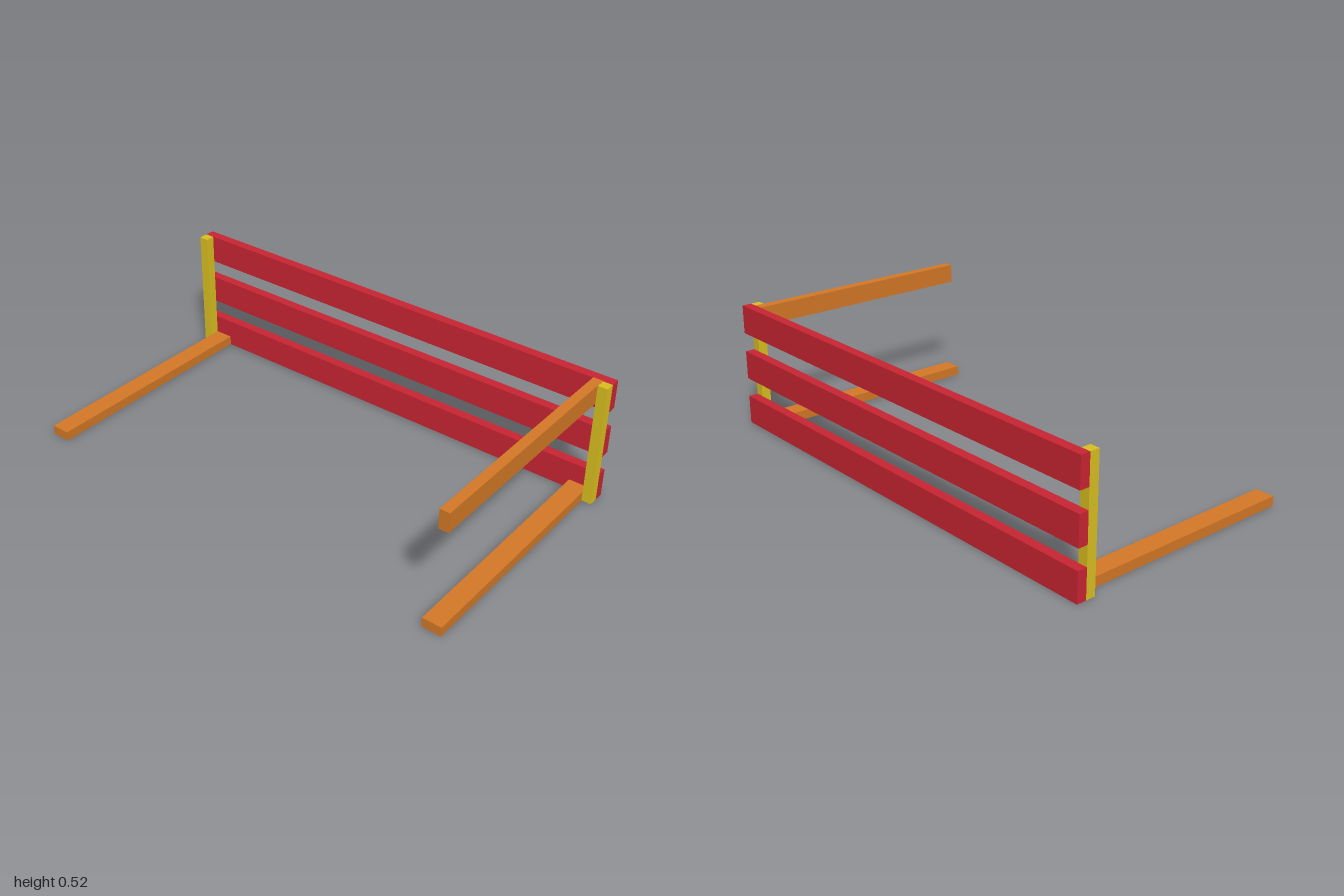
import * as THREE from 'three';

const material = (color) => new THREE.MeshStandardMaterial({ color, flatShading: true });

// Box given by its [min, max] extent along each axis
function beam(name, mat, [x0, x1], [y0, y1], [z0, z1]) {
  const mesh = new THREE.Mesh(new THREE.BoxGeometry(x1 - x0, y1 - y0, z1 - z0), mat);
  mesh.position.set((x0 + x1) / 2, (y0 + y1) / 2, (z0 + z1) / 2);
  mesh.name = name;
  return mesh;
}

export function createModel() {
  const group = new THREE.Group();
  group.name = 'slattedFrame';
  const red = material(0xc92432);
  const yellow = material(0xd9bf20);
  const orange = material(0xd37826);

  // Three horizontal boards across the back
  ['lower', 'middle', 'upper'].forEach((level, i) => {
    group.add(beam(level + 'BackBoard', red, [-1, 1], [i * 0.2, i * 0.2 + 0.12], [-0.52, -0.48]));
  });

  // Upright post and floor rail at each end
  for (const [side, s] of [['left', 1], ['right', -1]]) {
    const span = (a, b) => (s > 0 ? [a, b] : [-b, -a]);
    group.add(beam(side + 'Post', yellow, span(0.96, 1), [0, 0.52], [-0.48, -0.44]));
    group.add(beam(side + 'FloorRail', orange, span(0.88, 0.96), [0, 0.04], [-0.48, 0.52]));
  }

  // Single upper rail, on the left side only
  group.add(beam('leftUpperRail', orange, [0.92, 0.96], [0.443, 0.522], [-0.48, 0.52]));

  return group;
}
